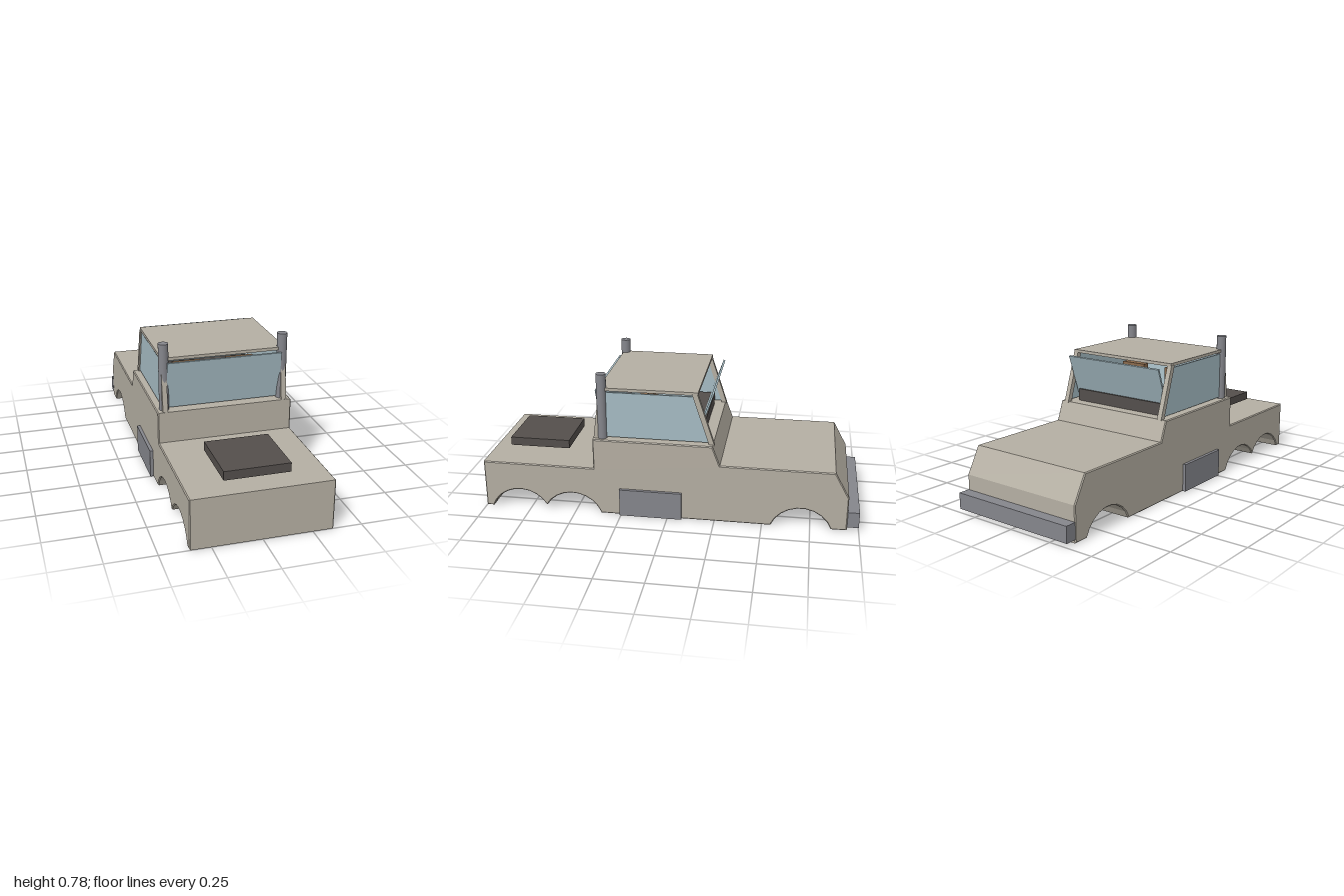
import * as THREE from 'three';

const mat = (color) => new THREE.MeshStandardMaterial({ color, flatShading: true });
const paint = mat(0xb5afa3);
const metal = mat(0x85868c);
const dark = mat(0x544f4c);
const glass = mat(0xa6bcc4);
const leather = mat(0x8a6a4c);

export function createModel() {
  const model = new THREE.Group();

  const add = (name, geometry, material) => {
    const mesh = new THREE.Mesh(geometry, material);
    mesh.name = name;
    model.add(mesh);
    return mesh;
  };

  // Box given by its min and max on each axis
  const box = (name, material, [x0, x1], [y0, y1], [z0, z1]) => {
    const mesh = add(name, new THREE.BoxGeometry(x1 - x0, y1 - y0, z1 - z0), material);
    mesh.position.set((x0 + x1) / 2, (y0 + y1) / 2, (z0 + z1) / 2);
    return mesh;
  };

  // Extrudes a side profile of [z, y] points across the width, centred on x
  const sideExtrude = (name, material, points, width, x = 0, bevel = 0) => {
    const shape = new THREE.Shape(points.map(([z, y]) => new THREE.Vector2(z, y)));
    const geometry = new THREE.ExtrudeGeometry(shape, {
      depth: width - 2 * bevel,
      bevelEnabled: bevel > 0,
      bevelSize: bevel,
      bevelThickness: bevel,
      bevelOffset: -bevel,
      bevelSegments: 1,
    });
    geometry.translate(0, 0, -width / 2 + bevel);
    geometry.rotateY(-Math.PI / 2);
    add(name, geometry, material).position.x = x;
  };

  // Wheel arch points from the low-z end to the high-z end
  const arch = (center, fromX, toX) => {
    const r = 0.167, cy = -0.06, n = 9;
    const a0 = Math.acos(fromX / r), a1 = Math.acos(toX / r);
    return Array.from({ length: n + 1 }, (_, i) => {
      const a = a0 + ((a1 - a0) * i) / n;
      return [center + r * Math.cos(a), cy + r * Math.sin(a)];
    });
  };

  // Body: hood, cab tub and rear deck in one profile with three wheel arches
  const edge = 0.156;
  sideExtrude('body', paint, [
    [-0.94, 0],
    ...arch(-0.702, -edge, edge),
    ...arch(0.515, -edge, 0.145),
    ...arch(0.805, -0.145, edge).slice(1),
    [1, 0], [1, 0.26], [0.395, 0.26], [0.395, 0.425],
    [-0.235, 0.425], [-0.275, 0.32], [-0.865, 0.32], [-0.94, 0.185],
  ], 0.71, 0, 0.005);

  // Bumper and the raised coupling plate over the rear deck
  box('bumper', metal, [-0.355, 0.355], [0.02, 0.105], [-1, -0.94]);
  box('couplingPlate', dark, [-0.166, 0.166], [0.282, 0.328], [0.575, 0.905]);

  // Cab roof and interior
  box('roof', paint, [-0.325, 0.325], [0.687, 0.703], [-0.155, 0.36]);
  box('dashboard', dark, [-0.28, 0.28], [0.42, 0.49], [-0.175, -0.075]);

  // Windshield and rear window, each a thin tilted pane
  const pane = (name, zBottom, zTop) => {
    const h = 0.248;
    const mesh = add(name, new THREE.BoxGeometry(0.6, Math.hypot(h, zTop - zBottom), 0.01), glass);
    mesh.position.set(0, 0.433 + h / 2, (zBottom + zTop) / 2);
    mesh.rotation.x = Math.atan2(zTop - zBottom, h);
  };
  pane('windshield', -0.14, -0.225);
  pane('rearWindow', 0.345, 0.38);

  for (const s of [-1, 1]) {
    const side = s > 0 ? 'left' : 'right';

    // Slanted cab pillars
    sideExtrude(side + 'FrontPillar', paint,
      [[-0.243, 0.42], [-0.215, 0.42], [-0.125, 0.692], [-0.153, 0.692]], 0.026, s * 0.315);
    sideExtrude(side + 'RearPillar', paint,
      [[0.368, 0.42], [0.394, 0.42], [0.359, 0.692], [0.333, 0.692]], 0.026, s * 0.315);

    // Side window
    sideExtrude(side + 'Window', glass,
      [[-0.212, 0.433], [0.37, 0.433], [0.34, 0.678], [-0.13, 0.678]], 0.01, s * 0.315);

    // Exhaust stack behind the cab
    const stack = add(side + 'ExhaustStack', new THREE.CylinderGeometry(0.026, 0.026, 0.356, 16), metal);
    stack.position.set(s * 0.312, 0.598, 0.348);
    stack.material = metal.clone();
    stack.material.flatShading = false;

    // Fuel tank box on the flank
    const tank = [s * 0.345, s * 0.372].sort((a, b) => a - b);
    box(side + 'FuelTank', metal, tank, [0.002, 0.152], [-0.077, 0.255]);

    // Seat back
    box(side + 'SeatBack', leather,
      [s * 0.146 - 0.075, s * 0.146 + 0.075], [0.42, 0.6], [0.145, 0.185]);
  }

  return model;
}
